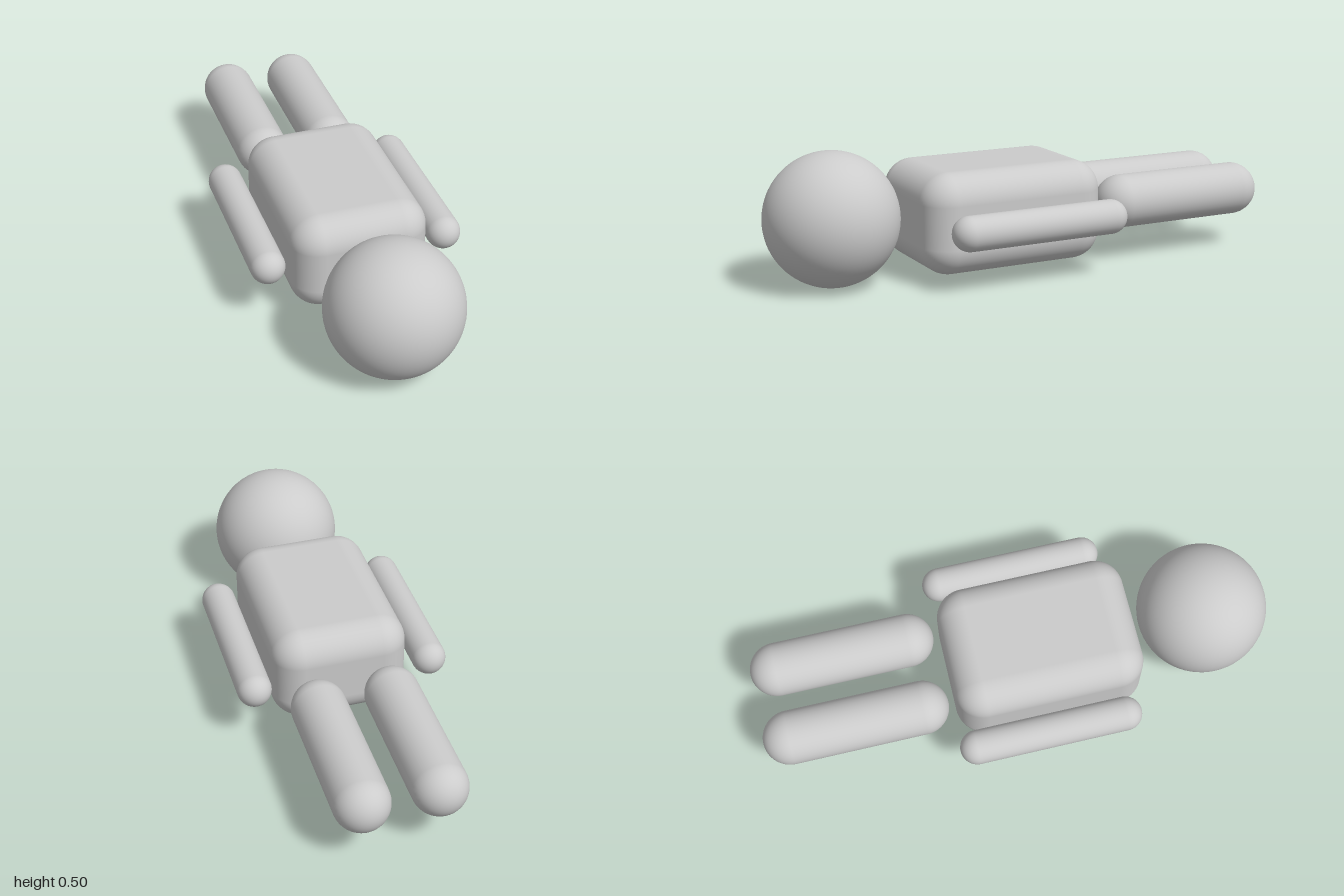
import * as THREE from 'three';
import { RoundedBoxGeometry } from 'three/addons/geometries/RoundedBoxGeometry.js';

export function createModel() {
  const model = new THREE.Group();
  const material = new THREE.MeshStandardMaterial({ color: 0xcccccc });

  const add = (name, geometry, x, y, z) => {
    const mesh = new THREE.Mesh(geometry, material);
    mesh.name = name;
    mesh.position.set(x, y, z);
    model.add(mesh);
  };

  // Capsule lying along z between two end points
  const limb = (radius, zMin, zMax) =>
    new THREE.CapsuleGeometry(radius, zMax - zMin - 2 * radius, 16, 40).rotateX(Math.PI / 2);

  // Lying figure: head towards the front, legs towards the back
  add('head', new THREE.SphereGeometry(0.25, 64, 40), 0, 0.251, 0.75);
  add('torso', new RoundedBoxGeometry(0.52, 0.38, 0.73, 10, 0.11), 0, 0.225, 0.105);

  // Mirrored limbs
  for (const [side, s] of [['left', 1], ['right', -1]]) {
    add(side + 'Arm', limb(0.065, -0.283, 0.423), s * 0.34, 0.226, 0.07);
    add(side + 'Leg', limb(0.103, -1, -0.285), s * 0.14, 0.228, -0.6425);
  }
  return model;
}
